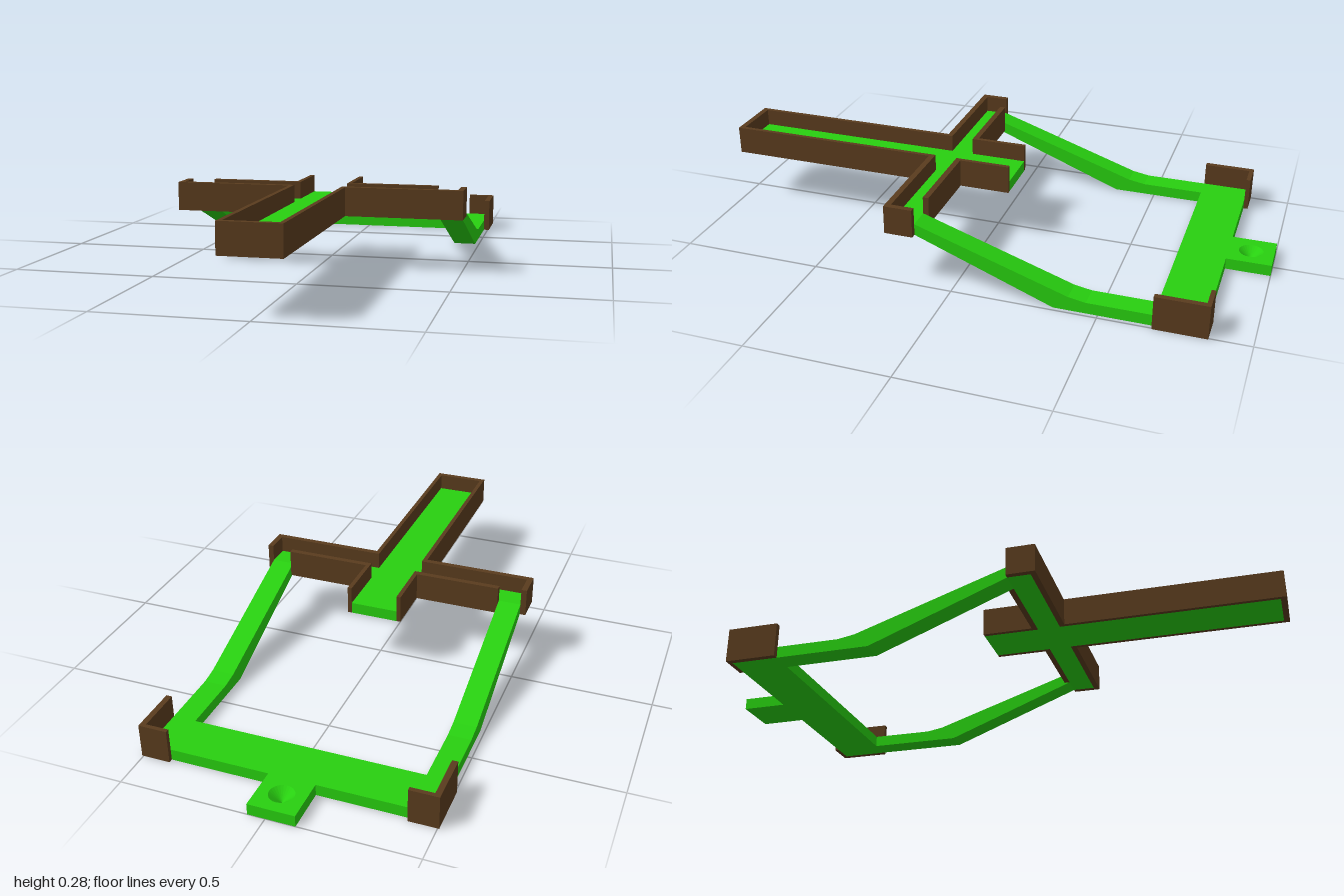
import * as THREE from 'three';

const green = new THREE.MeshStandardMaterial({ color: 0x28d010, flatShading: true });
const brown = new THREE.MeshStandardMaterial({ color: 0x5a3c1e, flatShading: true });

const shapeOf = pts => new THREE.Shape(pts.map(([x, y]) => new THREE.Vector2(x, y)));

export function createModel() {
  const model = new THREE.Group();

  const add = (name, geometry, material) => {
    const mesh = new THREE.Mesh(geometry, material);
    mesh.name = name;
    model.add(mesh);
    return mesh;
  };
  // Box given by its limits on each axis
  const box = (name, material, [x0, x1], [y0, y1], [z0, z1]) => {
    const g = new THREE.BoxGeometry(Math.abs(x1 - x0), y1 - y0, z1 - z0);
    g.translate((x0 + x1) / 2, (y0 + y1) / 2, (z0 + z1) / 2);
    return add(name, g, material);
  };
  // Flat plate from an outline in (x, -z), extruded upwards
  const plate = (name, shape, y, height) => {
    const g = new THREE.ExtrudeGeometry(shape, { depth: height, bevelEnabled: false });
    g.rotateX(-Math.PI / 2).translate(0, y, 0);
    return add(name, g, green);
  };

  // Rear bar with its offset tab and countersunk recess
  const T = 0.04, holeX = -0.02, holeZ = -0.92, holeR = 0.042;
  const bar = shapeOf([
    [-0.485, 0.68], [0.485, 0.68], [0.485, 0.845], [0.06, 0.845],
    [0.06, 1], [-0.1, 1], [-0.1, 0.845], [-0.485, 0.845],
  ]);
  bar.holes.push(new THREE.Path().absarc(holeX, -holeZ, holeR, 0, Math.PI * 2, true));
  plate('rearBar', bar, 0, T);
  const recess = [[0, 0], [holeR, 0], [holeR, T], [0, 0.004]].map(p => new THREE.Vector2(...p));
  add('countersink', new THREE.LatheGeometry(recess, 24), green).position.set(holeX, 0, holeZ);

  // Cross-shaped tray floor
  const base = 0.185, rim = 0.285;
  plate('trayFloor', shapeOf([
    [-0.085, -0.98], [0.085, -0.98], [0.085, -0.21], [0.485, -0.21], [0.485, -0.13],
    [0.085, -0.13], [0.085, 0.07], [-0.085, 0.07], [-0.085, -0.13], [-0.485, -0.13],
    [-0.485, -0.21], [-0.085, -0.21],
  ]), base, T);
  box('trayFrontWall', brown, [-0.1, 0.1], [base, rim], [0.98, 1]);

  // Side arm profile in (-z, y): flat, then rising to the tray
  const armProfile = shapeOf([
    [-0.13, base], [0.35, 0], [0.68, 0], [0.68, T], [0.46, T], [0.4, 0.05], [-0.13, base + T],
  ]);

  for (const s of [1, -1]) {
    const side = s > 0 ? 'left' : 'right';
    const arm = new THREE.ExtrudeGeometry(armProfile, { depth: 0.08, bevelEnabled: false });
    arm.rotateY(Math.PI / 2).translate(s > 0 ? 0.405 : -0.485, 0, 0);
    add(side + 'Arm', arm, green);

    // Rear corner bracket
    box(side + 'BracketSide', brown, [s * 0.485, s * 0.505], [0, 0.12], [-0.86, -0.68]);
    box(side + 'BracketBack', brown, [s * 0.405, s * 0.485], [0, 0.12], [-0.86, -0.845]);

    // Tray walls along the long channel and the cross channel
    const wall = [base, rim];
    box(side + 'LongWall', brown, [s * 0.085, s * 0.1], wall, [0.21, 0.98]);
    box(side + 'TailWall', brown, [s * 0.085, s * 0.1], wall, [-0.07, 0.13]);
    box(side + 'CrossFrontWall', brown, [s * 0.1, s * 0.505], wall, [0.21, 0.23]);
    box(side + 'CrossBackWall', brown, [s * 0.1, s * 0.405], wall, [0.11, 0.13]);
    box(side + 'CrossEndWall', brown, [s * 0.485, s * 0.505], wall, [0.13, 0.21]);
  }

  return model;
}
